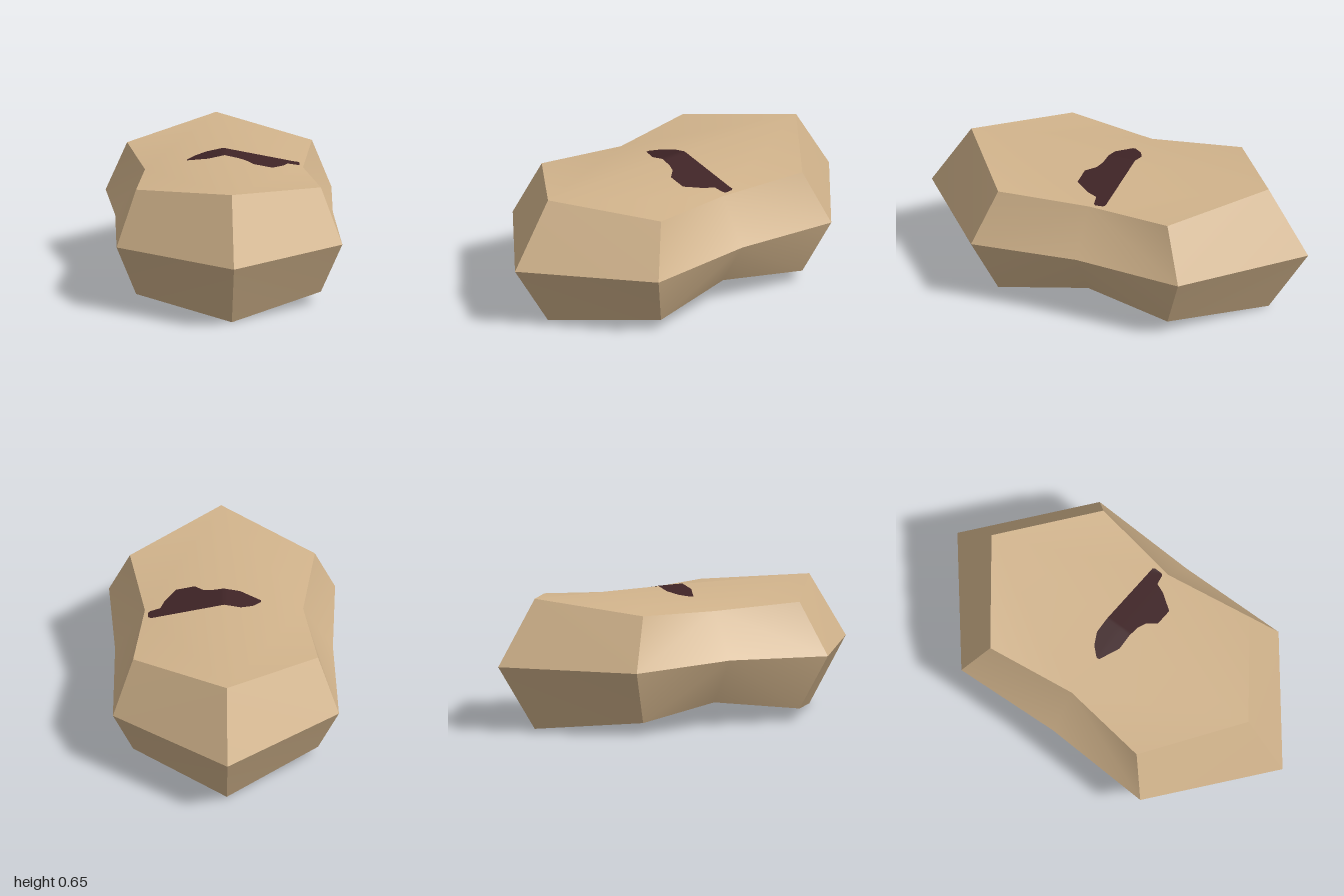
import * as THREE from 'three';
import { toCreasedNormals } from 'three/addons/utils/BufferGeometryUtils.js';

const tan = new THREE.MeshStandardMaterial({ color: 0xd2b48c });
tan.name = 'tan';
const darkBrown = new THREE.MeshStandardMaterial({ color: 0x3f2426, side: THREE.DoubleSide });
darkBrown.name = 'dark brown';

const TOP = 0.648;

// Eight-point waisted ring running from the front tip round by the left: tip, corner, waist as [x, y, z]
function ring(tip, corner, waist) {
  const flip = ([x, y, z], sx, sz) => new THREE.Vector3(x * sx, y, z * sz);
  return [
    flip(tip, 1, 1), flip(corner, 1, 1), flip(waist, 1, 1), flip(corner, 1, -1),
    flip(tip, 1, -1), flip(corner, -1, -1), flip(waist, -1, 1), flip(corner, -1, 1),
  ];
}

// Faceted body: side walls on three rings, a ridged upper face and an arched underside
function bodyGeometry() {
  const rings = [
    ring([0, 0.002, 0.79], [0.45, 0.06, 0.45], [0.385, 0.118, 0]),
    ring([0, 0.322, 1], [0.55, 0.322, 0.55], [0.53, 0.342, 0]),
    ring([0, 0.642, 0.79], [0.45, 0.585, 0.45], [0.385, 0.567, 0]),
  ];
  const points = [];

  // Side walls, with diagonals mirrored front to back
  for (let i = 0; i < 8; i++) {
    const j = (i + 1) % 8;
    for (let k = 0; k < 2; k++) {
      const [lo, hi] = [rings[k], rings[k + 1]];
      if (i % 2) points.push(lo[i], lo[j], hi[j], lo[i], hi[j], hi[i]);
      else points.push(lo[i], lo[j], hi[i], lo[j], hi[j], hi[i]);
    }
  }

  // Upper and lower faces: four quarters, each split from tip to waist
  const top = new THREE.Vector3(0, TOP, 0);
  const bottom = new THREE.Vector3(0, 0.12, 0);
  for (let i = 0; i < 8; i += 2) {
    const [a, b, c] = [i, i + 1, (i + 2) % 8];
    const [under, , upper] = rings;
    points.push(top, upper[a], upper[c], upper[a], upper[b], upper[c]);
    points.push(bottom, under[c], under[a], under[a], under[c], under[b]);
  }
  const geometry = new THREE.BufferGeometry().setFromPoints(points);
  return toCreasedNormals(geometry, Math.PI / 6);
}

// Height of the body's upper face
function topHeight(x, z) {
  const [ax, az] = [Math.abs(x), Math.abs(z)];
  return Math.max(TOP - 0.2104 * ax - 0.0076 * az, 0.6005 - 0.087 * ax + 0.0525 * az);
}

// Irregular dark patch draped over the upper face
function patchGeometry() {
  // Outline columns: x, back z, front z
  const outline = [
    [-0.18, -0.005, 0.01], [-0.14, -0.05, 0.03], [-0.08, -0.08, 0.06], [0, -0.08, 0.06],
    [0.06, -0.08, 0.065], [0.1, -0.08, 0.08], [0.14, -0.08, 0.125], [0.23, -0.08, 0.125],
    [0.29, -0.08, 0.04], [0.31, -0.08, -0.01], [0.36, -0.08, -0.02], [0.37, -0.07, -0.03],
  ];
  const spans = outline.length - 1, step = 4, rows = 10;
  const geometry = new THREE.PlaneGeometry(1, 1, spans * step, rows);
  const pos = geometry.attributes.position;
  for (let i = 0; i < pos.count; i++) {
    const u = (pos.getX(i) + 0.5) * spans;
    const v = 0.5 - pos.getY(i);
    const k = Math.min(Math.floor(u + 1e-5), spans - 1);
    const [x, back, front] = outline[k].map((a, n) => THREE.MathUtils.lerp(a, outline[k + 1][n], u - k));
    const z = THREE.MathUtils.lerp(back, front, v);
    pos.setXYZ(i, x, topHeight(x, z) + 0.002, z);
  }
  geometry.computeVertexNormals();
  return geometry;
}

export function createModel() {
  const model = new THREE.Group();
  model.name = 'waistedStone';
  const body = new THREE.Mesh(bodyGeometry(), tan);
  body.name = 'body';
  const patch = new THREE.Mesh(patchGeometry(), darkBrown);
  patch.name = 'darkPatch';
  model.add(body, patch);
  return model;
}
